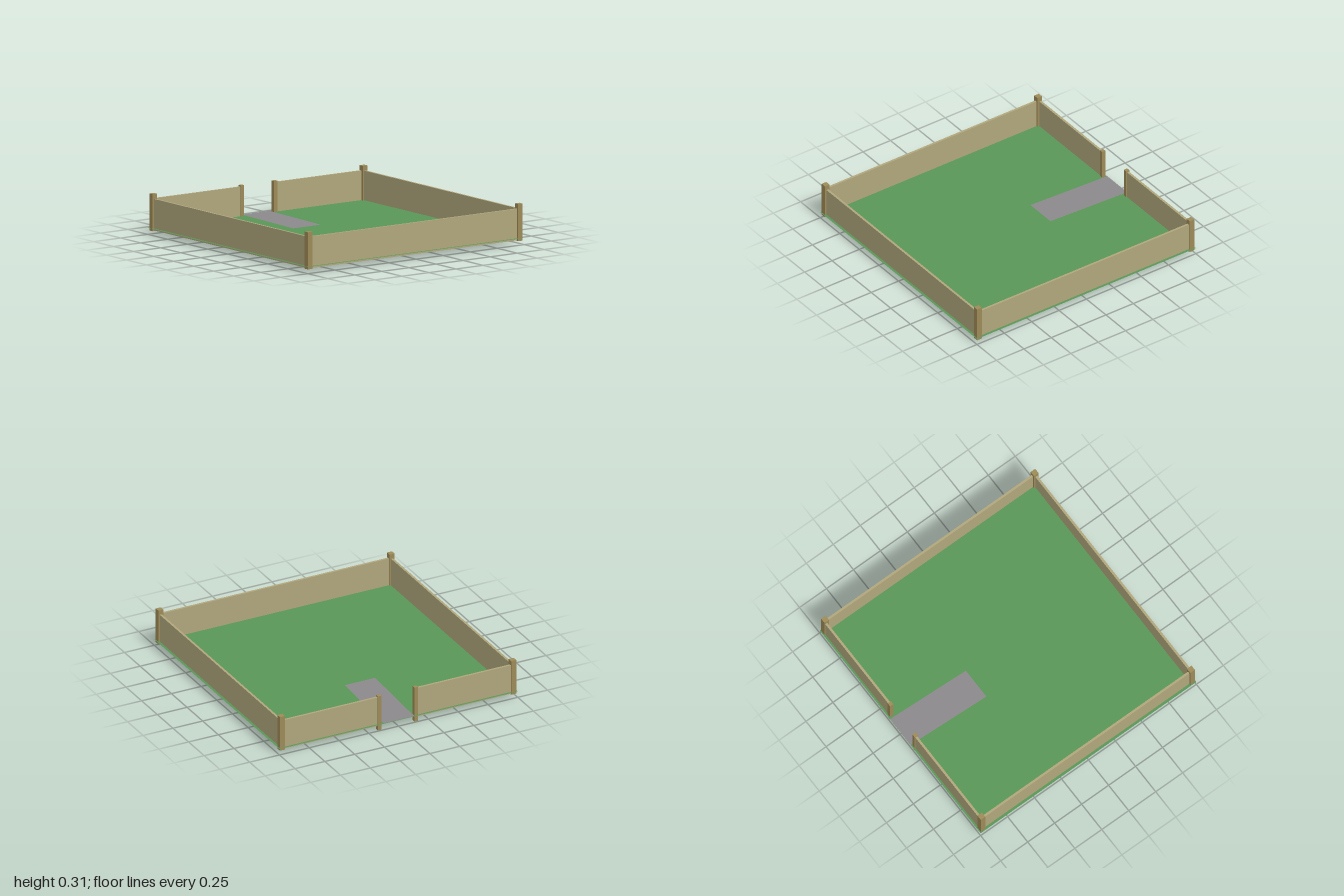
import * as THREE from 'three';

const mat = (name, color, side = THREE.FrontSide) => {
  const m = new THREE.MeshStandardMaterial({ color, side });
  m.name = name;
  return m;
};

export function createModel() {
  const group = new THREE.Group();
  group.name = 'fencedYard';
  const grass = mat('grass green', 0x5a9656, THREE.DoubleSide);
  const paving = mat('path grey', 0x8a888a, THREE.DoubleSide);
  const panel = mat('panel tan', 0xb0a67c);
  const post = mat('post brown', 0x9c8a58);

  // Box given by its limits on each axis
  const box = (name, material, [x0, x1], [y0, y1], [z0, z1]) => {
    const mesh = new THREE.Mesh(new THREE.BoxGeometry(x1 - x0, y1 - y0, z1 - z0), material);
    mesh.position.set((x0 + x1) / 2, (y0 + y1) / 2, (z0 + z1) / 2);
    mesh.name = name;
    group.add(mesh);
  };

  // Flat lawn sheet
  const lawn = new THREE.Mesh(new THREE.PlaneGeometry(2, 2).rotateX(-Math.PI / 2), grass);
  lawn.position.y = 0.05;
  lawn.name = 'lawn';
  group.add(lawn);

  // Slanted path entering through the gap at the back
  const outline = [[-0.16, 0.32], [0.095, 0.32], [0.125, 1], [-0.13, 1]];
  const shape = new THREE.Shape(outline.map(([x, y]) => new THREE.Vector2(x, y)));
  const path = new THREE.Mesh(new THREE.ShapeGeometry(shape).rotateX(-Math.PI / 2), paving);
  path.position.y = 0.054;
  path.name = 'path';
  group.add(path);

  // Fence panels
  const height = [0.035, 0.273];
  box('frontPanel', panel, [-0.96, 0.96], height, [0.962, 0.98]);
  for (const s of [-1, 1]) {
    const side = s < 0 ? 'right' : 'left';
    const span = (a, b) => (s > 0 ? [a, b] : [-b, -a]);
    box(side + 'Panel', panel, span(0.962, 0.98), height, [-0.96, 0.96]);
    box(side + 'BackPanel', panel, span(0.15, 0.96), height, [-0.985, -0.967]);
    // Gate post and corner posts
    box(side + 'GatePost', post, span(0.138, 0.168), [0, 0.284], [-0.99, -0.96]);
    box(side + 'FrontCornerPost', post, span(0.95, 0.992), [0.03, 0.31], [0.95, 0.992]);
    box(side + 'BackCornerPost', post, span(0.95, 0.992), [0.03, 0.31], [-0.992, -0.95]);
  }
  return group;
}
